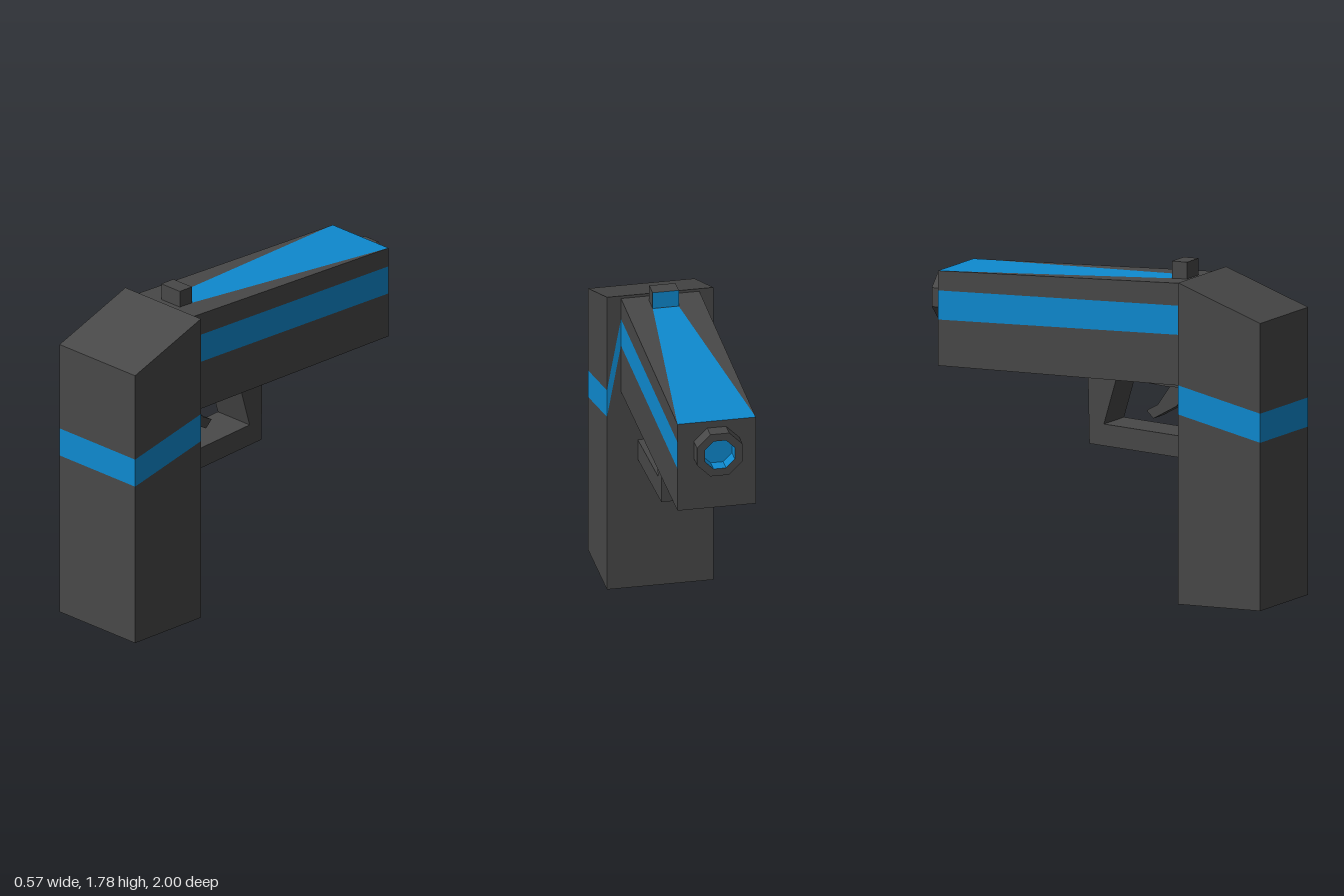
import * as THREE from 'three';

const dark = new THREE.MeshStandardMaterial({ color: 0x484848, flatShading: true });
const blue = new THREE.MeshStandardMaterial({ color: 0x0e8ad0, flatShading: true });

// Flat convex panels, each turned to face away from the part's centre
function panels(name, material, centre, faces) {
  const c = new THREE.Vector3(...centre);
  const positions = [];
  for (const face of faces) {
    const p = face.map((v) => new THREE.Vector3(...v));
    const normal = p[1].clone().sub(p[0]).cross(p[2].clone().sub(p[0]));
    if (normal.dot(p[0].clone().sub(c)) < 0) p.reverse();
    for (let i = 1; i < p.length - 1; i++) {
      for (const v of [p[0], p[i], p[i + 1]]) positions.push(v.x, v.y, v.z);
    }
  }
  const geometry = new THREE.BufferGeometry();
  geometry.setAttribute('position', new THREE.Float32BufferAttribute(positions, 3));
  geometry.computeVertexNormals();
  const mesh = new THREE.Mesh(geometry, material);
  mesh.name = name;
  return mesh;
}

// Each face plus its copy across x = 0
const mirrored = (faces) => faces.flatMap((f) => [f, f.map(([x, y, z]) => [-x, y, z])]);

// Symmetric panel running between two edges given as [halfWidth, y, z]
const span = ([x0, y0, z0], [x1, y1, z1]) => [[-x0, y0, z0], [x0, y0, z0], [x1, y1, z1], [-x1, y1, z1]];

// Side profile of [z, y] points extruded across x
function profile(name, points, width) {
  const shape = new THREE.Shape(points.map(([z, y]) => new THREE.Vector2(-z, y)));
  const geometry = new THREE.ExtrudeGeometry(shape, { depth: width, bevelEnabled: false });
  geometry.translate(0, 0, -width / 2).rotateY(Math.PI / 2);
  const mesh = new THREE.Mesh(geometry, dark);
  mesh.name = name;
  return mesh;
}

function makeGrip() {
  const group = new THREE.Group();
  group.name = 'grip';
  const w = 0.285, b = 0.21, f = 1, r = 0.52;
  const centre = [0, 0.9, 0.76];
  const side = (y0, y1, y2, y3) => [[w, y0, f], [w, y1, f], [w, y2, r], [w, y3, r]];

  group.add(panels('gripBody', dark, centre, [
    span([w, 0, f], [w, 0.895, f]),
    span([w, 1.05, f], [w, 1.53, f]),
    span([w, 1.53, f], [w, 1.71, r]),
    span([w, 0, r], [w, 1.01, r]),
    span([b, 1.01, r], [b, 1.71, r]),
    // Frame around the base inset
    span([w, 0, f], [0.17, 0, 0.9]),
    span([w, 0, r], [0.17, 0, 0.62]),
    ...mirrored([
      side(0, 0.895, 1.01, 0),
      side(1.05, 1.53, 1.71, 1.165),
      [[w, 1.01, r], [b, 1.42, r], [b, 1.01, r]],
      [[w, 1.165, r], [w, 1.71, r], [b, 1.71, r], [b, 1.575, r]],
      [[w, 0, f], [w, 0, r], [0.17, 0, 0.62], [0.17, 0, 0.9]],
    ]),
  ]));
  // Band wraps the grip and rises to meet the barrel stripe
  group.add(panels('gripBand', blue, centre, [
    span([w, 0.895, f], [w, 1.05, f]),
    ...mirrored([
      side(0.895, 1.05, 1.165, 1.01),
      [[w, 1.01, r], [w, 1.165, r], [b, 1.575, r], [b, 1.42, r]],
    ]),
  ]));
  group.add(panels('baseInset', blue, centre, [span([0.17, 0, 0.62], [0.17, 0, 0.9])]));
  return group;
}

function makeBarrel() {
  const group = new THREE.Group();
  group.name = 'barrel';
  const w = 0.21, near = 0.52, far = -0.92, floor = 1.15;
  const centre = [0, 1.4, -0.2];
  const topY = (z) => 1.695 - (0.04 * (near - z)) / (near - far);
  const side = (n0, n1, f0, f1) => [[w, n0, near], [w, n1, near], [w, f1, far], [w, f0, far]];
  const top = (x, z) => [x, topY(z), z];

  group.add(panels('barrelBody', dark, centre, [
    span([w, floor, near], [w, floor, far]),
    span([w, floor, far], [w, topY(far), far]),
    span(top(w, near), top(0.07, 0.465)),
    span(top(0.07, 0.465), top(0.07, 0.375)),
    ...mirrored([
      side(floor, 1.42, floor, 1.395),
      side(1.575, 1.695, 1.55, 1.655),
      [top(w, near), top(0.07, 0.465), top(w, far)],
      [top(0.07, 0.465), top(0.07, 0.375), top(w, far)],
    ]),
  ]));
  group.add(panels('sideStripes', blue, centre, mirrored([side(1.42, 1.575, 1.395, 1.55)])));
  group.add(panels('topStripe', blue, centre, [span(top(0.07, 0.375), top(w, far))]));

  // Sight block with a blue far face
  const sight = new THREE.Mesh(new THREE.BoxGeometry(0.14, 0.1, 0.088), [dark, dark, dark, dark, dark, blue]);
  sight.name = 'sight';
  sight.position.set(0, 1.733, 0.422);
  group.add(sight);
  return group;
}

// Eight-sided ring and its bore, turned about z
function ring(name, color, points) {
  const material = new THREE.MeshStandardMaterial({ color, flatShading: true, side: THREE.DoubleSide });
  const outline = points.map(([radius, d]) => new THREE.Vector2(radius, d));
  const geometry = new THREE.LatheGeometry(outline, 8, Math.PI / 8).rotateX(-Math.PI / 2);
  const mesh = new THREE.Mesh(geometry, material);
  mesh.name = name;
  mesh.position.y = 1.495;
  return mesh;
}

export function createModel() {
  const model = new THREE.Group();
  model.name = 'toyBlaster';
  model.add(makeGrip(), makeBarrel());
  model.add(ring('muzzle', dark.color, [[0.132, 0.92], [0.132, 1], [0.087, 1]]));
  model.add(ring('muzzleBore', blue.color, [[0.087, 1], [0.087, 0.925], [0, 0.925]]));

  // Guard loop, trigger and its mount under the barrel
  model.add(profile('triggerGuard', [
    [0.52, 0.745], [-0.08, 0.785], [-0.088, 1.15], [0.08, 1.15], [0.005, 0.895], [0.52, 0.86],
  ], 0.24));
  model.add(profile('triggerMount', [[0.52, 1.15], [0.47, 1.122], [0.37, 1.122], [0.08, 1.15]], 0.24));
  model.add(profile('trigger', [
    [0.48, 1.125], [0.4, 1.01], [0.265, 0.935], [0.225, 0.975], [0.29, 1.01], [0.37, 1.125],
  ], 0.12));
  return model;
}
